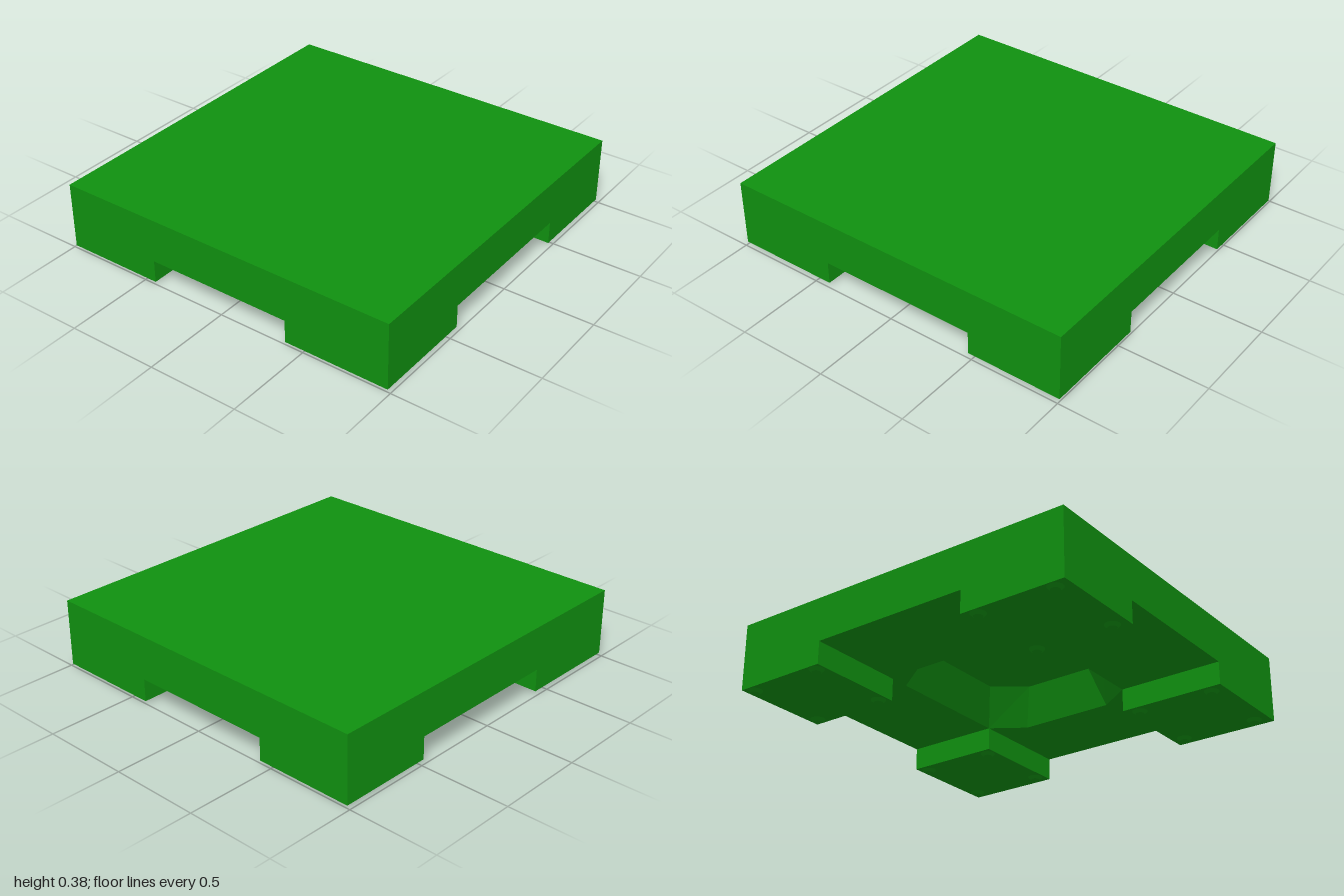
import * as THREE from 'three';

const H = 0.385, SLAB = 0.14, LEG = 0.015, CEIL = 0.35, Z = 0.985;

export function createModel() {
  const model = new THREE.Group();
  const green = new THREE.MeshStandardMaterial({ color: 0x109010, flatShading: true });
  const add = (name, geometry, x = 0, y = 0, z = 0) => {
    const mesh = new THREE.Mesh(geometry, green);
    mesh.name = name;
    mesh.position.set(x, y, z);
    model.add(mesh);
  };

  // Slab: top and four sides; the underside is a separate plate with an opening
  const slab = new THREE.BoxGeometry(2, H - SLAB, 2 * Z);
  const index = Array.from(slab.index.array);
  index.splice(18, 6);
  slab.setIndex(index);
  slab.clearGroups();
  add('slab', slab, 0, (H + SLAB) / 2, 0);

  // Octagonal outlines of the pocket as [x, z], running from x towards z
  const octagon = (hx, hz, cx, cz) =>
    [[hx, cz], [cx, hz], [-cx, hz], [-hx, cz], [-hx, -cz], [-cx, -hz], [cx, -hz], [hx, -cz]]
      .map(([x, z]) => [x + 0.025, z + 0.035]);
  const rim = octagon(0.445, 0.48, 0.265, 0.36);
  const ceiling = octagon(0.375, 0.41, 0.2, 0.275);

  const points = (list) => list.map(([x, z]) => new THREE.Vector2(x, z));
  const plate = new THREE.Shape(points([[-1, -Z], [1, -Z], [1, Z], [-1, Z]]));
  plate.holes.push(new THREE.Path(points(rim)));
  add('underside', new THREE.ShapeGeometry(plate).rotateX(Math.PI / 2), 0, SLAB, 0);

  // Pocket: sloping walls and a flat ceiling
  const pos = [];
  const n = rim.length;
  const put = (ring, i, y) => pos.push(ring[i % n][0], y, ring[i % n][1]);
  for (let i = 0; i < n; i++) {
    put(rim, i, SLAB); put(rim, i + 1, SLAB); put(ceiling, i + 1, CEIL);
    put(rim, i, SLAB); put(ceiling, i + 1, CEIL); put(ceiling, i, CEIL);
    if (i > 0 && i < n - 1) {
      put(ceiling, 0, CEIL); put(ceiling, i, CEIL); put(ceiling, i + 1, CEIL);
    }
  }
  const pocket = new THREE.BufferGeometry();
  pocket.setAttribute('position', new THREE.Float32BufferAttribute(pos, 3));
  pocket.computeVertexNormals();
  add('pocket', pocket);

  // Corner legs, each with four small tapered pads
  const spansX = [{ a: -1, b: -0.42, pads: [-0.92, -0.49] }, { a: 0.47, b: 1, pads: [0.52, 0.95] }];
  const spansZ = [{ a: -Z, b: -0.43, pads: [-0.94, -0.48] }, { a: 0.395, b: Z, pads: [0.45, 0.91] }];
  const pad = new THREE.CylinderGeometry(0.04, 0.025, LEG, 16);
  for (const sx of spansX) {
    for (const sz of spansZ) {
      add('leg', new THREE.BoxGeometry(sx.b - sx.a, SLAB - LEG, sz.b - sz.a),
        (sx.a + sx.b) / 2, (SLAB + LEG) / 2, (sz.a + sz.b) / 2);
      for (const x of sx.pads) for (const z of sz.pads) add('footPad', pad, x, LEG / 2, z);
    }
  }
  return model;
}
